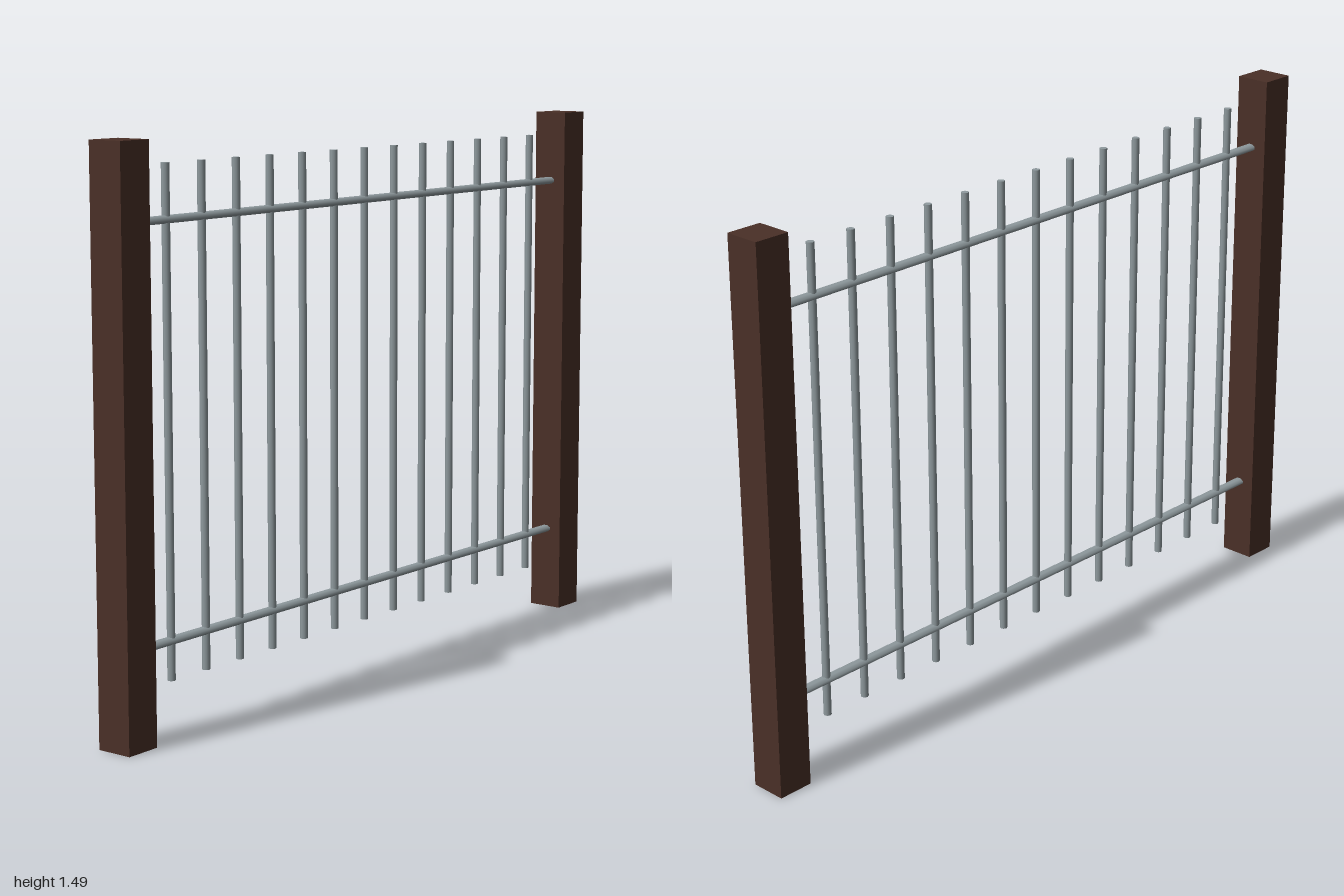
import * as THREE from 'three';

export function createModel() {
  const group = new THREE.Group();
  const wood = new THREE.MeshStandardMaterial({ color: 0x4a3027 });
  const metal = new THREE.MeshStandardMaterial({ color: 0x8f9a9e });

  const add = (name, geometry, material, x, y) => {
    const mesh = new THREE.Mesh(geometry, material);
    mesh.name = name;
    mesh.position.set(x, y, 0);
    group.add(mesh);
  };

  // Square wooden posts at both ends
  const postGeo = new THREE.BoxGeometry(0.1, 1.49, 0.1);
  add('leftPost', postGeo, wood, 0.95, 0.745);
  add('rightPost', postGeo, wood, -0.95, 0.745);

  // Flattened eight-sided rails running between the posts
  const railGeo = new THREE.CylinderGeometry(0.016, 0.016, 1.8, 8)
    .rotateY(Math.PI / 8)
    .rotateZ(Math.PI / 2)
    .scale(1, 0.65, 1);
  add('upperRail', railGeo, metal, 0, 1.29);
  add('lowerRail', railGeo, metal, 0, 0.24);

  // Evenly spaced upright bars passing through the rails
  const barGeo = new THREE.CylinderGeometry(0.0105, 0.0105, 1.29, 8);
  const count = 13;
  for (let i = 0; i < count; i++) {
    add(`bar${i + 1}`, barGeo, metal, (i - (count - 1) / 2) * 0.1315, 0.783);
  }

  return group;
}
